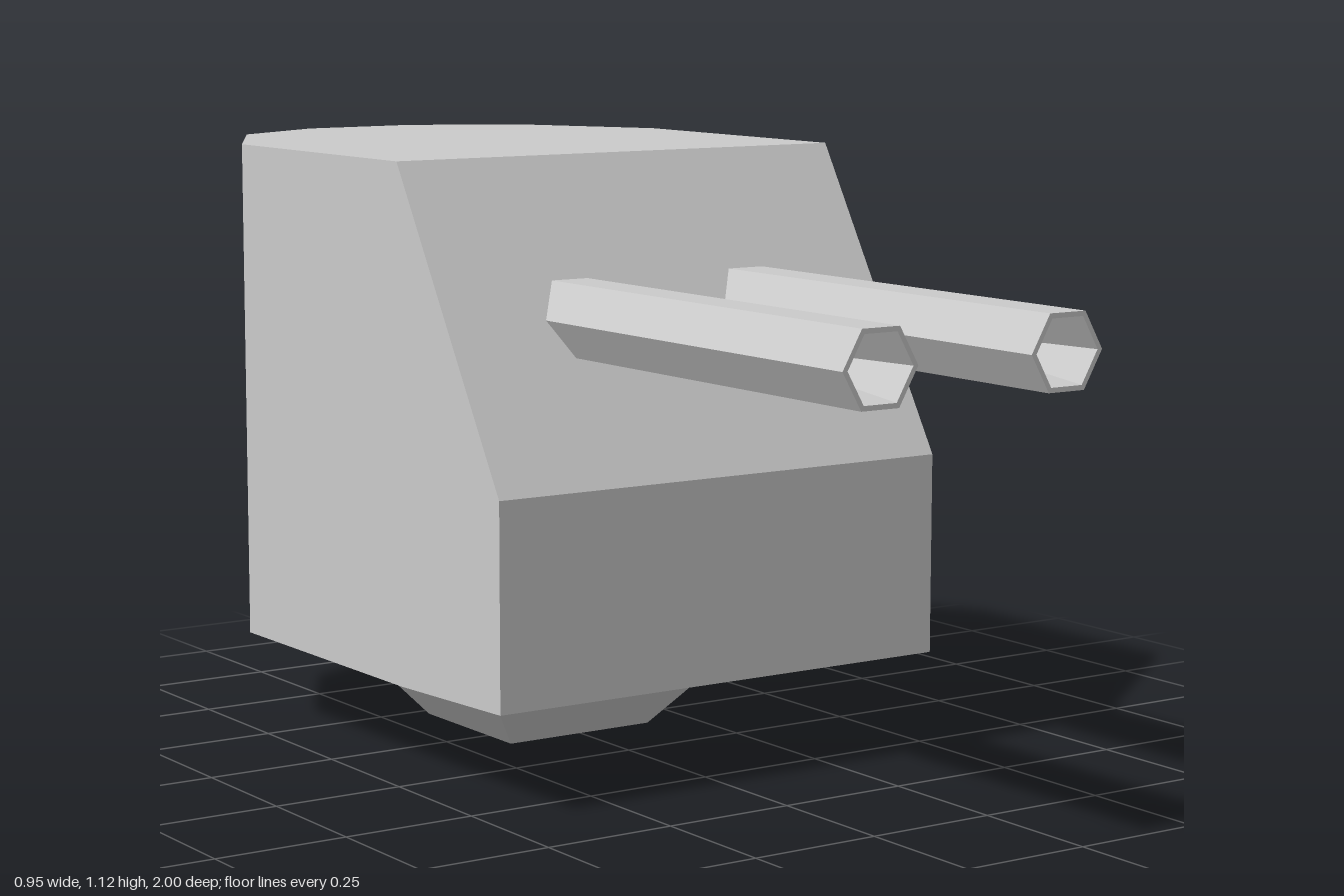
import * as THREE from 'three';
import { ConvexGeometry } from 'three/addons/geometries/ConvexGeometry.js';

const material = new THREE.MeshStandardMaterial({ color: 0xcccccc, flatShading: true });

function addMesh(group, name, geometry) {
  const mesh = new THREE.Mesh(geometry, material);
  mesh.name = name;
  group.add(mesh);
  return mesh;
}

// Housing: straight sides, faceted round back, sloped front plate
function housingGeometry() {
  const points = [];
  const add = (x, y, z) => {
    for (const s of [-1, 1]) points.push(new THREE.Vector3(s * x, y, z));
  };
  const bottom = 0.176, top = 1.125, half = 0.475;
  for (const [x, z] of [[half, -0.03], [half, -0.615], [0.32, -0.89], [0.117, -1]]) {
    add(x, bottom, z);
    add(x, top, z);
  }
  add(half, 0.187, 0.308);
  add(half, 0.563, 0.308);
  return new ConvexGeometry(points);
}

// Six-sided barrel along +z with a thin rim and a bore tapering to a point
function barrelGeometry() {
  const profile = [[0, 0], [0.076, 0], [0.076, 1], [0.066, 1], [0, 0.55]]
    .map(([r, z]) => new THREE.Vector2(r, z));
  return new THREE.LatheGeometry(profile, 6, Math.PI / 2).rotateX(Math.PI / 2);
}

export function createModel() {
  const model = new THREE.Group();
  model.name = 'gunTurret';

  addMesh(model, 'housing', housingGeometry());

  // Base: inverted four-sided frustum
  const root2 = Math.SQRT2;
  const base = new THREE.CylinderGeometry(0.3 * root2, 0.157 * root2, 0.176, 4).rotateY(Math.PI / 4);
  base.scale(1, 1, 0.97);
  addMesh(model, 'base', base).position.set(0, 0.088, -0.32);

  // Mirrored pair of barrels
  for (const [name, side] of [['leftBarrel', 1], ['rightBarrel', -1]]) {
    addMesh(model, name, barrelGeometry()).position.set(side * 0.194, 0.845, 0);
  }
  return model;
}
